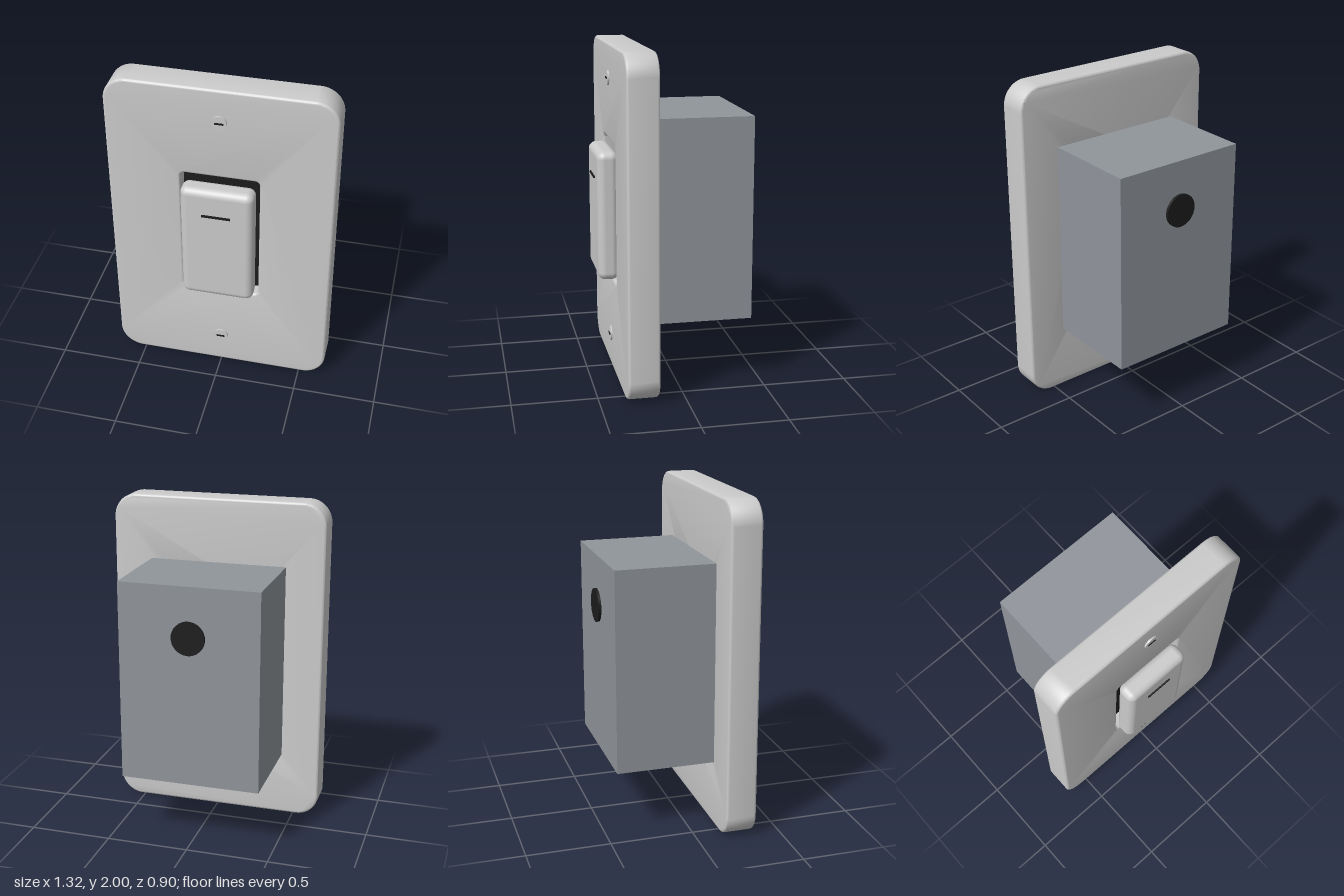
import * as THREE from 'three';
import { toCreasedNormals } from 'three/addons/utils/BufferGeometryUtils.js';
import { RoundedBoxGeometry } from 'three/addons/geometries/RoundedBoxGeometry.js';

const grey = new THREE.MeshStandardMaterial({ color: 0xcccccc });
const housingGrey = new THREE.MeshStandardMaterial({ color: 0x90959b });
const black = new THREE.MeshStandardMaterial({ color: 0x1c1c1c });

// Traces a rounded rectangle, centred on (cx, cy), into a shape or a hole path
function roundedRect(path, cx, cy, w, h, r) {
  const x = cx - w / 2, y = cy - h / 2, q = Math.PI / 2;
  path.absarc(x + w - r, y + r, r, -q, 0);
  path.absarc(x + w - r, y + h - r, r, 0, q);
  path.absarc(x + r, y + h - r, r, q, 2 * q);
  path.absarc(x + r, y + r, r, 2 * q, 3 * q);
  path.closePath();
  return path;
}

export function createModel() {
  const model = new THREE.Group();

  function add(name, geometry, material, x, y, z, parent = model) {
    const mesh = new THREE.Mesh(geometry, material);
    mesh.name = name;
    mesh.position.set(x, y, z);
    parent.add(mesh);
    return mesh;
  }

  // Disc whose axis runs along z
  const disc = (r, depth) => new THREE.CylinderGeometry(r, r, depth, 32).rotateX(Math.PI / 2);

  // Wall plate with softened edges and a window for the rocker
  const bevel = 0.015, thickness = 0.185;
  const outline = roundedRect(new THREE.Shape(), 0, 1, 1.32, 2, 0.14);
  outline.holes.push(roundedRect(new THREE.Path(), 0, 1.01, 0.462, 0.842, 0.03));
  const plate = new THREE.ExtrudeGeometry(outline, {
    depth: thickness - 2 * bevel,
    bevelThickness: bevel,
    bevelSize: bevel,
    bevelOffset: -bevel,
    bevelSegments: 4,
    curveSegments: 10,
  });
  add('wallPlate', toCreasedNormals(plate, 0.6), grey, 0, 0, 0.158 + bevel);

  // Dark recess behind the window
  add('recess', new THREE.BoxGeometry(0.464, 0.844, 0.1), black, 0, 1.01, 0.212);

  // Rocker button and its indicator line
  add('rocker', new RoundedBoxGeometry(0.43, 0.775, 0.125, 5, 0.045), grey, 0, 1.003, 0.38);
  add('indicator', new THREE.BoxGeometry(0.168, 0.012, 0.014), black, 0, 1.222, 0.444);

  // Slotted screws above and below the rocker
  for (const [name, y] of [['upperScrew', 1.797], ['lowerScrew', 0.21]]) {
    const screw = new THREE.Group();
    screw.name = name;
    screw.position.set(0, y, 0.343);
    add('screwHead', disc(0.045, 0.02), grey, 0, 0, 0, screw);
    add('screwSlot', new THREE.BoxGeometry(0.052, 0.01, 0.01), black, 0, 0, 0.009, screw);
    model.add(screw);
  }

  // Back box with a cable entry on its rear face
  add('backBox', new THREE.BoxGeometry(0.844, 1.21, 0.596), housingGrey, 0, 1.005, -0.137);
  add('cableEntry', disc(0.1, 0.03), black, 0, 1.308, -0.436);

  return model;
}
